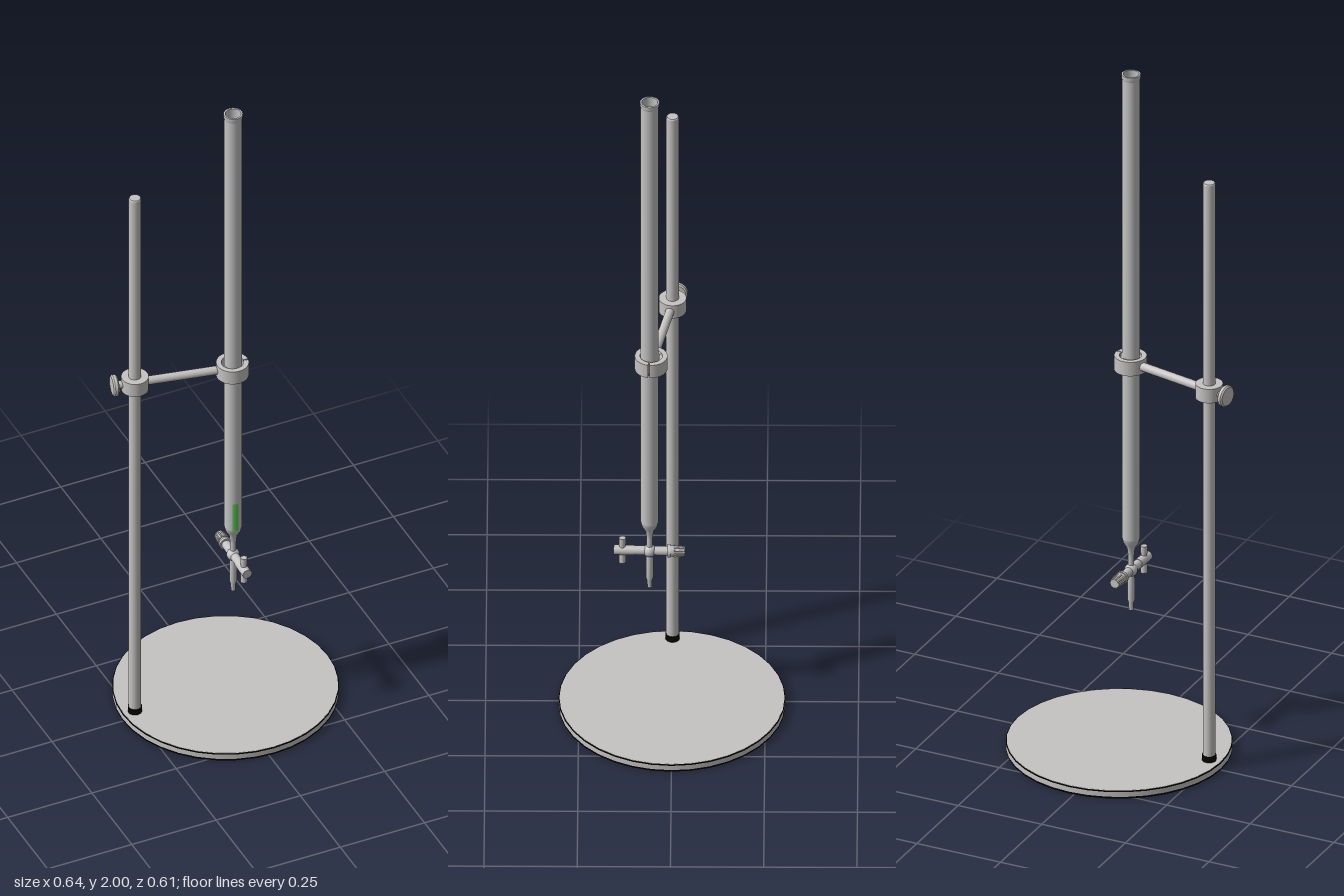
import * as THREE from 'three';

const mat = (name, color) => {
  const m = new THREE.MeshStandardMaterial({ color });
  m.name = name;
  return m;
};

export function createModel() {
  const steel = mat('steel', 0xc6c4c2);
  const glass = mat('glass', 0xc4c4c4);
  const black = mat('black rubber', 0x030303);
  const green = mat('green liquid', 0x5ccb56);

  const model = new THREE.Group();
  model.name = 'buretteStand';
  const V = (x, y, z) => new THREE.Vector3(x, y, z);
  const add = (name, geo, material, x = 0, y = 0, z = 0) => {
    const m = new THREE.Mesh(geo, material);
    m.name = name;
    m.position.set(x, y, z);
    model.add(m);
    return m;
  };
  const lathe = (pts, seg = 28) =>
    new THREE.LatheGeometry(pts.map(p => new THREE.Vector2(...p)), seg);
  // Cylinder running from a to b
  const rod = (name, a, b, r0, r1, material, seg = 20) => {
    const m = add(name, new THREE.CylinderGeometry(r1, r0, a.distanceTo(b), seg), material);
    m.position.copy(a).lerp(b, 0.5);
    m.quaternion.setFromUnitVectors(V(0, 1, 0), b.clone().sub(a).normalize());
    return m;
  };
  // Flat ring with an optional slot, its thickness along y
  const ring = (name, x, y, z, ro, ri, h, slot) => {
    const s = new THREE.Shape();
    const g = slot / 2;
    if (slot) {
      s.absarc(0, 0, ro, g, Math.PI * 2 - g, false);
      s.absarc(0, 0, ri, Math.PI * 2 - g, g, true);
    } else {
      s.absarc(0, 0, ro, 0, Math.PI * 2, false);
      s.holes.push(new THREE.Path().absarc(0, 0, ri, 0, Math.PI * 2, true));
    }
    const geo = new THREE.ExtrudeGeometry(s, { depth: h, bevelEnabled: false, curveSegments: 28 });
    geo.translate(0, 0, -h / 2).rotateX(-Math.PI / 2);
    return add(name, geo, steel, x, y, z);
  };

  // Base plate with a dark underside and edge lines
  const bx = 0.015, br = 0.304;
  add('baseUnderside', new THREE.CylinderGeometry(br, br, 0.005, 36), black, bx, 0.0025, 0);
  add('basePlate', new THREE.CylinderGeometry(br, br, 0.014, 36), steel, bx, 0.012, 0);
  add('baseEdge', new THREE.CylinderGeometry(br, br, 0.003, 36), black, bx, 0.0205, 0);
  add('baseTop', new THREE.CylinderGeometry(br - 0.002, br - 0.002, 0.003, 36), steel, bx, 0.0212, 0);

  // Upright pole
  const px = -0.254;
  add('poleCollar', new THREE.CylinderGeometry(0.019, 0.019, 0.018, 24), black, px, 0.031, 0);
  add('pole', lathe([[0, 0.022], [0.017, 0.022], [0.017, 0.022], [0.017, 1.757], [0.017, 1.757],
    [0.015, 1.76], [0.015, 1.76], [0, 1.76]], 24), steel, px);

  // Clamp: two rings, the arm between them and the thumbscrew
  const cy = 1.135, tx = 0.009, tz = 0.06;
  ring('poleClamp', px, cy, 0, 0.037, 0.0165, 0.042, 0);
  ring('tubeClamp', tx, cy, tz - 0.004, 0.044, 0.03, 0.042, 0.09).rotation.y = -0.15;
  for (let i = 0; i < 3; i++) {
    const a = Math.PI + i * Math.PI * 2 / 3;
    const pad = add('clampPad', new THREE.BoxGeometry(0.024, 0.036, 0.01), steel,
      tx + Math.sin(a) * 0.028, cy, tz - 0.003 + Math.cos(a) * 0.028);
    pad.rotation.y = a;
  }
  const dir = V(tx - px, 0, tz - 0.006).normalize();
  const along = d => V(px, cy, 0).addScaledVector(dir, d);
  rod('clampArm', along(0.03), along(0.232), 0.012, 0.012, steel);
  rod('screwShaft', along(-0.03), along(-0.052), 0.011, 0.011, steel);
  const knob = add('screwKnob', lathe([[0, -0.008], [0.026, -0.008], [0.026, -0.008],
    [0.03, -0.004], [0.03, -0.004], [0.03, 0.004], [0.03, 0.004],
    [0.026, 0.008], [0.026, 0.008], [0, 0.008]], 20), steel);
  knob.position.copy(along(-0.056));
  knob.quaternion.setFromUnitVectors(V(0, 1, 0), dir);

  // Glass tube: tip and taper, then the straight wall with an open top
  add('tubeTip', lathe([[0, 0.388], [0.006, 0.388], [0.006, 0.388], [0.007, 0.41],
    [0.01, 0.42], [0.01, 0.48], [0.008, 0.5], [0.008, 0.55], [0.011, 0.575],
    [0.021, 0.592], [0.024, 0.605]]), glass, tx, 0, tz);
  add('tubeWall', lathe([[0.024, 0.605], [0.024, 1.985], [0.024, 1.985], [0.026, 1.99],
    [0.026, 2], [0.026, 2], [0.021, 2], [0.021, 2], [0.021, 0.69]]), glass, tx, 0, tz);

  // Liquid inside, and its face showing through the front wall
  add('liquid', new THREE.CylinderGeometry(0.0208, 0.0208, 0.09, 28), green, tx, 0.65, tz);
  add('liquidFront', new THREE.CylinderGeometry(0.0245, 0.0245, 0.09, 8, 1, true, -0.5, 0.7),
    green, tx, 0.65, tz);

  // Stopcock: barrel across the tube, grip behind, cross handle in front
  const sy = 0.508;
  const at = z => V(tx - (z - tz) * 0.035, sy, z);
  rod('stopcockBarrel', at(0.0), at(0.105), 0.0125, 0.0125, glass);
  add('stopcockBulb', new THREE.SphereGeometry(0.018, 20, 14), glass, tx, sy, tz);
  rod('stopcockPlug', at(0.1), at(0.156), 0.0135, 0.0135, steel);
  rod('stopcockFlange', at(0.004), at(0.012), 0.018, 0.018, steel);
  rod('stopcockNeck', at(-0.01), at(0.006), 0.013, 0.016, steel);
  rod('stopcockGrip', at(-0.035), at(-0.004), 0.0125, 0.016, steel);
  for (let i = 0; i < 10; i++) {
    const a = i * Math.PI / 5;
    const rib = r => V(Math.cos(a) * r, Math.sin(a) * r, 0);
    rod('gripRib', at(-0.034).add(rib(0.0125)), at(-0.006).add(rib(0.0155)), 0.002, 0.0026, steel, 6);
  }
  const hz = 0.133;
  add('stopcockHandle', lathe([[0, -0.04], [0.009, -0.04], [0.009, -0.04], [0.009, -0.02],
    [0.007, 0], [0.009, 0.02], [0.009, 0.04], [0.009, 0.04], [0, 0.04]], 16),
  steel, at(hz).x, sy, hz);

  return model;
}
